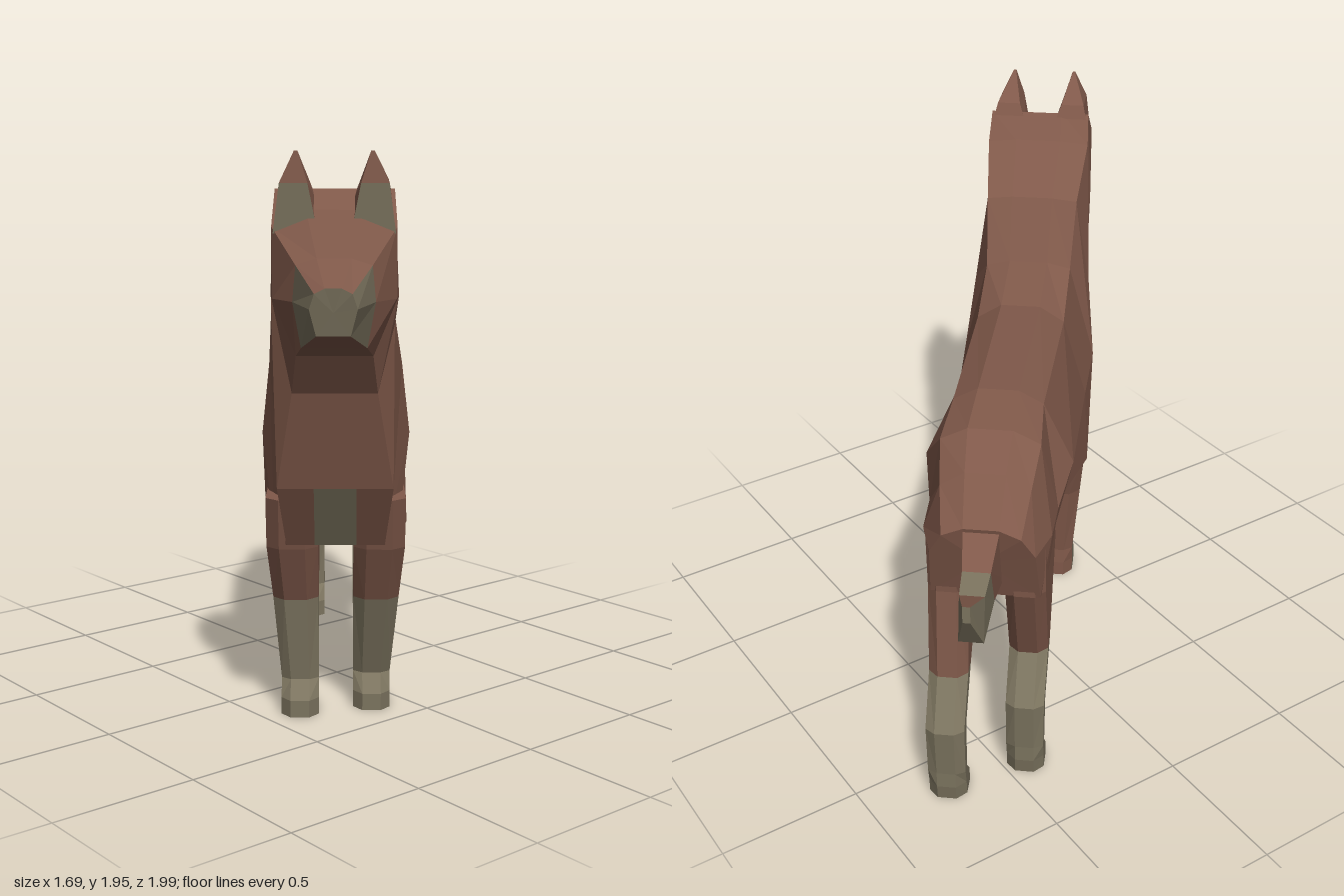
import * as THREE from 'three';

const brown = new THREE.MeshStandardMaterial({ color: 0x80594a });
brown.name = 'brown coat';
const olive = new THREE.MeshStandardMaterial({ color: 0x7c745f });
olive.name = 'olive fur';

const { clamp, lerp } = THREE.MathUtils;

// Skins a list of closed rings of [x, y, z] points with flat faces.
// isOlive(i, j) picks the colour of the face after ring i at point j;
// the end caps are asked for with i = 'start' and i = 'end'.
function loft(name, rings, isOlive) {
  const tris = [[], []];
  const n = rings[0].length;
  const add = (c, ...pts) => tris[c ? 1 : 0].push(pts);
  for (let i = 0; i < rings.length - 1; i++) {
    for (let j = 0; j < n; j++) {
      const k = (j + 1) % n;
      const a = rings[i][j], b = rings[i][k], c = rings[i + 1][k], d = rings[i + 1][j];
      add(isOlive(i, j), a, b, c);
      add(isOlive(i, j), a, c, d);
    }
  }
  const cap = (ring, which) => {
    const mid = [0, 1, 2].map(q => ring.reduce((t, p) => t + p[q], 0) / n);
    ring.forEach((p, j) => {
      const q = ring[(j + 1) % n];
      add(isOlive(which, j), ...(which === 'start' ? [q, p, mid] : [p, q, mid]));
    });
  };
  cap(rings[0], 'start');
  cap(rings[rings.length - 1], 'end');

  // Turn all faces outwards
  let volume = 0;
  for (const [a, b, c] of tris.flat()) {
    volume += a[0] * (b[1] * c[2] - b[2] * c[1])
      + a[1] * (b[2] * c[0] - b[0] * c[2]) + a[2] * (b[0] * c[1] - b[1] * c[0]);
  }
  if (volume < 0) tris.flat().forEach(t => t.reverse());

  const g = new THREE.BufferGeometry();
  g.setAttribute('position', new THREE.Float32BufferAttribute(tris.flat(3), 3));
  g.addGroup(0, tris[0].length * 3, 0);
  g.addGroup(tris[0].length * 3, tris[1].length * 3, 1);
  g.computeVertexNormals();
  const mesh = new THREE.Mesh(g, [brown, olive]);
  mesh.name = name;
  return mesh;
}

// Ten-sided section: spine, back edge, flank, lower edge and belly strip, mirrored.
// The flank lies on the slanted plane between back edge and lower edge.
function section([lift, edgeX, edgeY, edgeZ, flankX, flankY, lowX, lowY, lowZ]) {
  const flankZ = lerp(edgeZ, lowZ, (edgeY - flankY) / (edgeY - lowY));
  const half = [
    [edgeX * 0.45, edgeY + lift, edgeZ], [edgeX, edgeY, edgeZ], [flankX, flankY, flankZ],
    [lowX, lowY, lowZ], [Math.min(0.07, lowX * 0.6), lowY, lowZ],
  ];
  return [...half, ...half.map(([x, y, z]) => [-x, y, z]).reverse()];
}

// Leg from levels [y, front z, back z], each a rectangle with cut corners.
// It widens towards topWidth and steps forward by stride below strideTop.
function leg(name, side, levels, topWidth, stride, strideTop, isOlive) {
  const inner = 0.06;
  const rings = levels.map(([y, front, back]) => {
    const outer = lerp(0.19, topWidth, clamp((y - 0.12) / 0.5, 0, 1));
    const step = stride * clamp((strideTop - y) / 0.33, 0, 1);
    const f = front + step, b = back + step;
    const cx = (outer - inner) * 0.25, cz = Math.min((f - b) * 0.25, 0.04);
    return [[inner + cx, f], [outer - cx, f], [outer, f - cz], [outer, b + cz],
      [outer - cx, b], [inner + cx, b], [inner, b + cz], [inner, f - cz]]
      .map(([x, z]) => [side * x, y, z]);
  });
  return loft(name, rings, isOlive);
}

export function createModel() {
  const model = new THREE.Group();
  model.name = 'dog';
  const dog = new THREE.Group();
  dog.name = 'turnedDog';
  dog.rotation.y = -0.7;
  model.add(dog);

  // Trunk, neck and head, rump to face
  const trunk = [
    [0.03, 0.127, 1.08, -0.975, 0.17, 1.0, 0.18, 0.8, -0.89],
    [0.05, 0.146, 1.19, -0.855, 0.21, 1.0, 0.19, 0.78, -0.78],
    [0.045, 0.163, 1.28, -0.725, 0.215, 1.0, 0.18, 0.8, -0.62],
    [0.045, 0.15, 1.31, -0.52, 0.25, 1.08, 0.16, 0.83, -0.477],
    [0.055, 0.158, 1.28, 0.13, 0.24, 0.96, 0.25, 0.64, 0.22],
    [0.02, 0.157, 1.37, 0.39, 0.25, 1.0, 0.21, 0.63, 0.45],
    [0.01, 0.168, 1.59, 0.51, 0.22, 1.25, 0.165, 0.64, 0.565],
    [0.01, 0.19, 1.735, 0.725, 0.19, 1.4, 0.19, 0.86, 0.69],
    [0, 0.185, 1.83, 0.8, 0.2, 1.5, 0.136, 1.19, 0.79],
    [0.05, 0.19, 1.72, 0.94, 0.19, 1.5, 0.12, 1.32, 0.88],
    [0.02, 0.115, 1.61, 1.02, 0.125, 1.5, 0.1, 1.36, 1.0],
  ].map(section);
  dog.add(loft('bodyAndHead', trunk, (i, j) => j === 4 && i < 7));

  // Muzzle with olive cheeks and nose end
  const noseEnd = section([0.015, 0.055, 1.545, 1.24, 0.07, 1.5, 0.05, 1.42, 1.21]);
  dog.add(loft('muzzle', [trunk[trunk.length - 1], noseEnd],
    (i, j) => i === 'end' || [1, 2, 6, 7].includes(j)));

  // Ears, olive at the lower front: [inner x, outer x, front y, back y, front z, back z]
  for (const side of [1, -1]) {
    const ear = [
      [0.05, 0.185, 1.7, 1.78, 0.95, 0.77],
      [0.08, 0.165, 1.85, 1.86, 0.965, 0.81],
      [0.11, 0.12, 1.945, 1.945, 0.955, 0.945],
    ].map(([i, o, fy, by, fz, bz]) =>
      [[i, fy, fz], [o, fy, fz], [o, by, bz], [i, by, bz]].map(([x, y, z]) => [side * x, y, z]));
    dog.add(loft(side > 0 ? 'leftEar' : 'rightEar', ear, (i, j) => i === 0 && j === 0));
  }

  // Tail: [top y, top z, bottom y, bottom z, half width]
  const tail = [
    [1.11, -0.95, 0.86, -0.88, 0.06], [1.025, -1.08, 0.86, -1.0, 0.045],
    [1.01, -1.18, 0.86, -1.215, 0.04], [1.06, -1.3, 1.0, -1.3, 0.012],
  ].map(([ty, tz, by, bz, w]) => [[w, ty, tz], [w, by, bz], [-w, by, bz], [-w, ty, tz]]);
  dog.add(loft('tail', tail, (i, j) => i === 1 || (i === 2 && j !== 3) || i === 'end'));

  // Legs with olive socks, the right ones further forward
  const frontLevels = [
    [0.8, 0.6, 0.26], [0.62, 0.55, 0.235], [0.42, 0.46, 0.285],
    [0.12, 0.35, 0.25], [0.06, 0.405, 0.245], [0, 0.405, 0.245],
  ];
  const hindLevels = [
    [1.0, -0.62, -0.91], [0.8, -0.48, -0.895], [0.47, -0.8, -0.93], [0.31, -0.94, -1.035],
    [0.12, -0.95, -1.02], [0.06, -0.88, -1.02], [0, -0.875, -1.01],
  ];
  const sock = i => i === 'end' || i >= 2;
  // The right front sock stays brown behind
  const openSock = (i, j) => i === 'end' || (i >= 2 && (j < 3 || j > 5));
  dog.add(
    leg('frontLeftLeg', 1, frontLevels, 0.235, 0, 0.45, sock),
    leg('frontRightLeg', -1, frontLevels, 0.235, 0.075, 0.45, openSock),
    leg('hindLeftLeg', 1, hindLevels, 0.195, 0, 0.8, sock),
    leg('hindRightLeg', -1, hindLevels, 0.195, 0.16, 0.8, sock),
  );

  return model;
}
